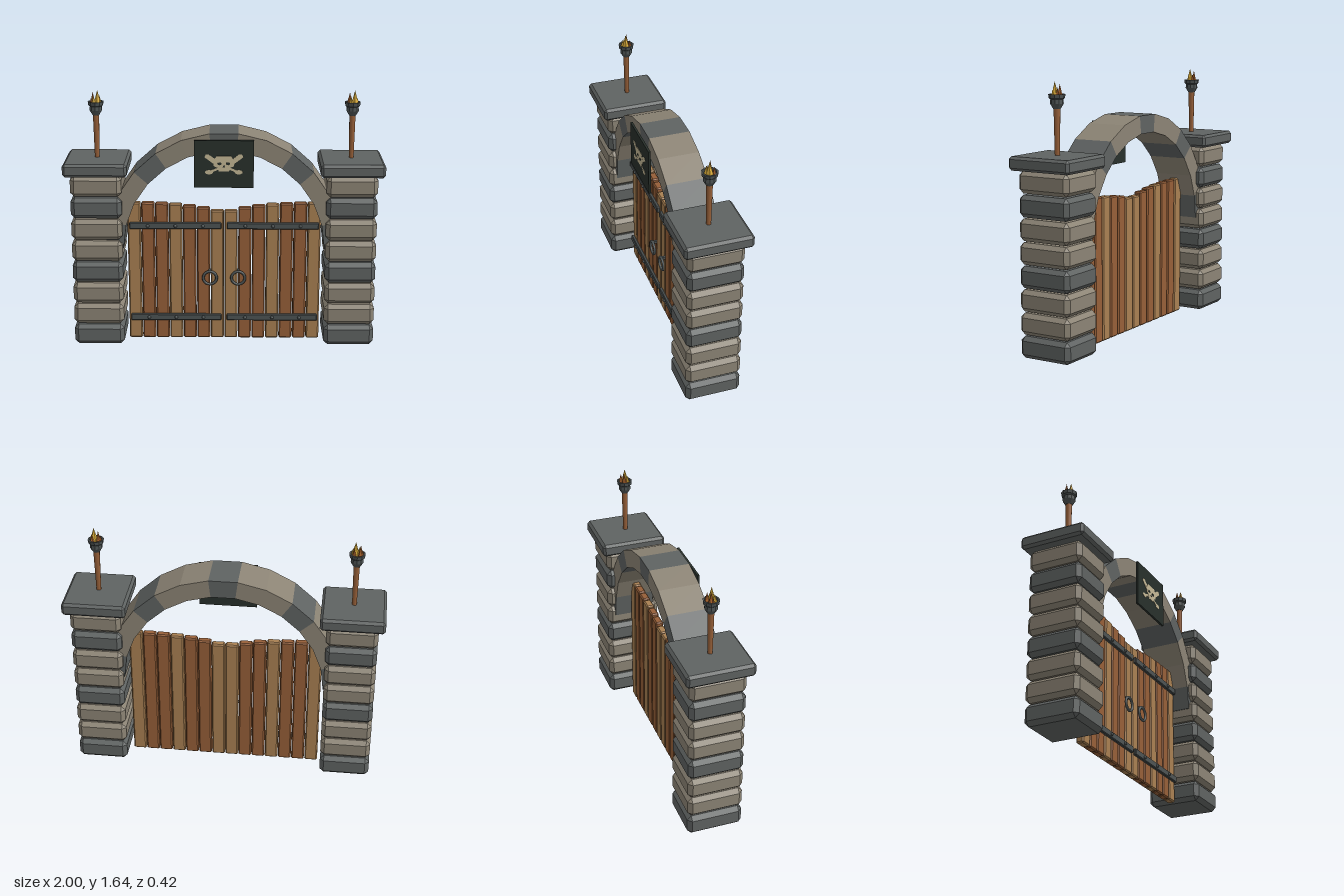
import * as THREE from 'three';
import { ConvexGeometry } from 'three/addons/geometries/ConvexGeometry.js';

const mat = (name, color) => {
  const m = new THREE.MeshStandardMaterial({ color });
  m.name = name;
  return m;
};

// Box with one flat chamfer on every edge
function chamferBox(w, h, d, b) {
  const pts = [];
  for (const sx of [-1, 1]) for (const sy of [-1, 1]) for (const sz of [-1, 1]) {
    const x = w / 2, y = h / 2, z = d / 2;
    pts.push(new THREE.Vector3(sx * x, sy * (y - b), sz * (z - b)));
    pts.push(new THREE.Vector3(sx * (x - b), sy * y, sz * (z - b)));
    pts.push(new THREE.Vector3(sx * (x - b), sy * (y - b), sz * z));
  }
  return new ConvexGeometry(pts);
}

function flat(geometry) {
  const g = geometry.toNonIndexed();
  g.computeVertexNormals();
  return g;
}

export function createModel() {
  const stone = mat('warm stone', 0x8c8475);
  const slate = mat('dark stone', 0x5f6362);
  const lightWood = mat('light wood', 0xa98052);
  const darkWood = mat('dark wood', 0x965f38);
  const iron = mat('iron', 0x4d5353);
  const cloth = mat('dark cloth', 0x28302b);
  const bone = mat('bone', 0xc4b795);
  const flame = mat('flame', 0xdcae3a);
  const ember = mat('ember', 0xb0672f);

  const model = new THREE.Group();
  model.name = 'stoneGate';
  const add = (parent, name, geometry, material, x = 0, y = 0, z = 0) => {
    const m = new THREE.Mesh(geometry, material);
    m.name = name;
    m.position.set(x, y, z);
    parent.add(m);
    return m;
  };
  const group = (name) => {
    const g = new THREE.Group();
    g.name = name;
    model.add(g);
    return g;
  };

  // Pillars: separate chamfered blocks under a wide cap
  const block = chamferBox(0.32, 0.133, 0.352, 0.026);
  const cap = chamferBox(0.4, 0.083, 0.424, 0.016);
  for (const s of [-1, 1]) {
    const pillar = group(s > 0 ? 'leftPillar' : 'rightPillar');
    for (let i = 0; i < 8; i++) {
      add(pillar, 'pillarBlock', block, i % 3 === 0 ? slate : stone, s * 0.8, 0.081 + i * 0.1408);
    }
    add(pillar, 'pillarCap', cap, slate, s * 0.8, 1.178);
  }

  // Torches: tapered pole, iron bowl and a cluster of flames
  const bowlProfile = [[0, 1.49], [0.022, 1.49], [0.04, 1.52], [0.038, 1.545], [0.047, 1.552],
    [0.05, 1.575], [0.04, 1.575], [0.034, 1.56], [0, 1.558]].map(([x, y]) => new THREE.Vector2(x, y));
  const bowl = flat(new THREE.LatheGeometry(bowlProfile, 10));
  const pole = new THREE.CylinderGeometry(0.02, 0.015, 0.29, 10);
  const flames = [ // x, z, tip height, radius, material
    [0.012, 0.006, 1.648, 0.026, flame], [-0.018, -0.008, 1.635, 0.018, ember],
    [-0.012, 0.016, 1.612, 0.018, flame], [0.02, -0.018, 1.615, 0.016, ember],
    [-0.028, 0.002, 1.6, 0.012, ember], [0.028, 0.01, 1.605, 0.012, flame],
  ];
  for (const s of [-1, 1]) {
    const torch = group(s > 0 ? 'leftTorch' : 'rightTorch');
    torch.position.x = s * 0.8;
    add(torch, 'torchPole', pole, darkWood, 0, 1.36);
    add(torch, 'torchBowl', bowl, iron);
    for (const [x, z, top, r, material] of flames) {
      const h = top - 1.555;
      add(torch, 'torchFlame', flat(new THREE.ConeGeometry(r, h, 5)), material, x, 1.555 + h / 2, z);
    }
  }

  // Arch of thirteen wedge stones, every third one dark
  const arch = group('arch');
  const count = 13, outer = 0.75, inner = 0.635;
  for (let i = 0; i < count; i++) {
    const a = Math.PI * (1 - i / count), b = Math.PI * (1 - (i + 1) / count);
    const wedge = new THREE.Shape([[outer, a], [inner, a], [inner, b], [outer, b]]
      .map(([r, t]) => new THREE.Vector2(r * Math.cos(t), r * Math.sin(t))));
    const g = new THREE.ExtrudeGeometry(wedge, { depth: 0.26, bevelEnabled: false });
    add(arch, 'archStone', g, i % 3 === 0 ? slate : stone, 0, 0.655, -0.13);
  }

  // Gate doors: seven planks each, getting shorter toward the middle
  const tops = [0.873, 0.892, 0.906, 0.915, 0.92, 0.923, 0.925];
  const rivet = new THREE.SphereGeometry(0.011, 10, 6);
  const ring = new THREE.TorusGeometry(0.043, 0.009, 8, 24);
  const strap = chamferBox(0.587, 0.043, 0.022, 0.005);
  for (const s of [-1, 1]) {
    const door = group(s > 0 ? 'leftDoor' : 'rightDoor');
    tops.forEach((top, i) => {
      add(door, 'plank', chamferBox(0.084, top - 0.004, 0.05, 0.008),
        i % 3 === 0 ? lightWood : darkWood, s * (0.0443 + i * 0.0885), (top + 0.004) / 2);
    });
    for (const y of [0.155, 0.777]) {
      add(door, 'ironStrap', strap, iron, s * 0.311, y, 0.035);
      for (const x of [0.135, 0.311, 0.487]) add(door, 'rivet', rivet, iron, s * x, y, 0.047);
    }
    add(door, 'pullRing', ring, iron, s * 0.091, 0.43, 0.052);
    add(door, 'ringStud', new THREE.BoxGeometry(0.016, 0.018, 0.03), iron, s * 0.091, 0.473, 0.036);
  }

  // Hanging banner with a thin painted skull and crossed bones
  const banner = group('banner');
  banner.position.set(0, 1.214, 0.156);
  add(banner, 'bannerCloth', new THREE.BoxGeometry(0.37, 0.3, 0.014), cloth);
  const plate = (name, shape, material, z) => add(banner, name,
    new THREE.ExtrudeGeometry(shape, { depth: 0.002, bevelEnabled: false, curveSegments: 8 }), material, 0, 0, z);
  const ellipse = (x, y, rx, ry) => new THREE.Shape().absellipse(x, y, rx, ry, 0, Math.PI * 2);
  const poly = (pts) => new THREE.Shape(pts.map(([x, y]) => new THREE.Vector2(x, y)));
  plate('skull', poly([[-0.045, 0.052], [0.045, 0.052], [0.068, 0.02], [0.062, -0.012], [0.038, -0.022],
    [0.032, -0.046], [-0.032, -0.046], [-0.038, -0.022], [-0.062, -0.012], [-0.068, 0.02]]), bone, 0.0072);
  plate('nose', poly([[-0.008, -0.018], [0.008, -0.018], [0, -0.004]]), cloth, 0.0085);
  for (const s of [-1, 1]) {
    plate('eye', ellipse(s * 0.026, 0.004, 0.013, 0.009), cloth, 0.0085);
    plate('upperBone', poly([[s * 0.05, 0.03], [s * 0.06, 0.0], [s * 0.12, 0.045], [s * 0.112, 0.062],
      [s * 0.092, 0.062]]), bone, 0.0068);
    plate('lowerBone', poly([[s * 0.025, -0.03], [s * 0.04, -0.022], [s * 0.09, -0.042], [s * 0.085, -0.056]]),
      bone, 0.0068);
    plate('boneEnd', ellipse(s * 0.092, -0.05, 0.025, 0.014), bone, 0.0068);
  }
  return model;
}
